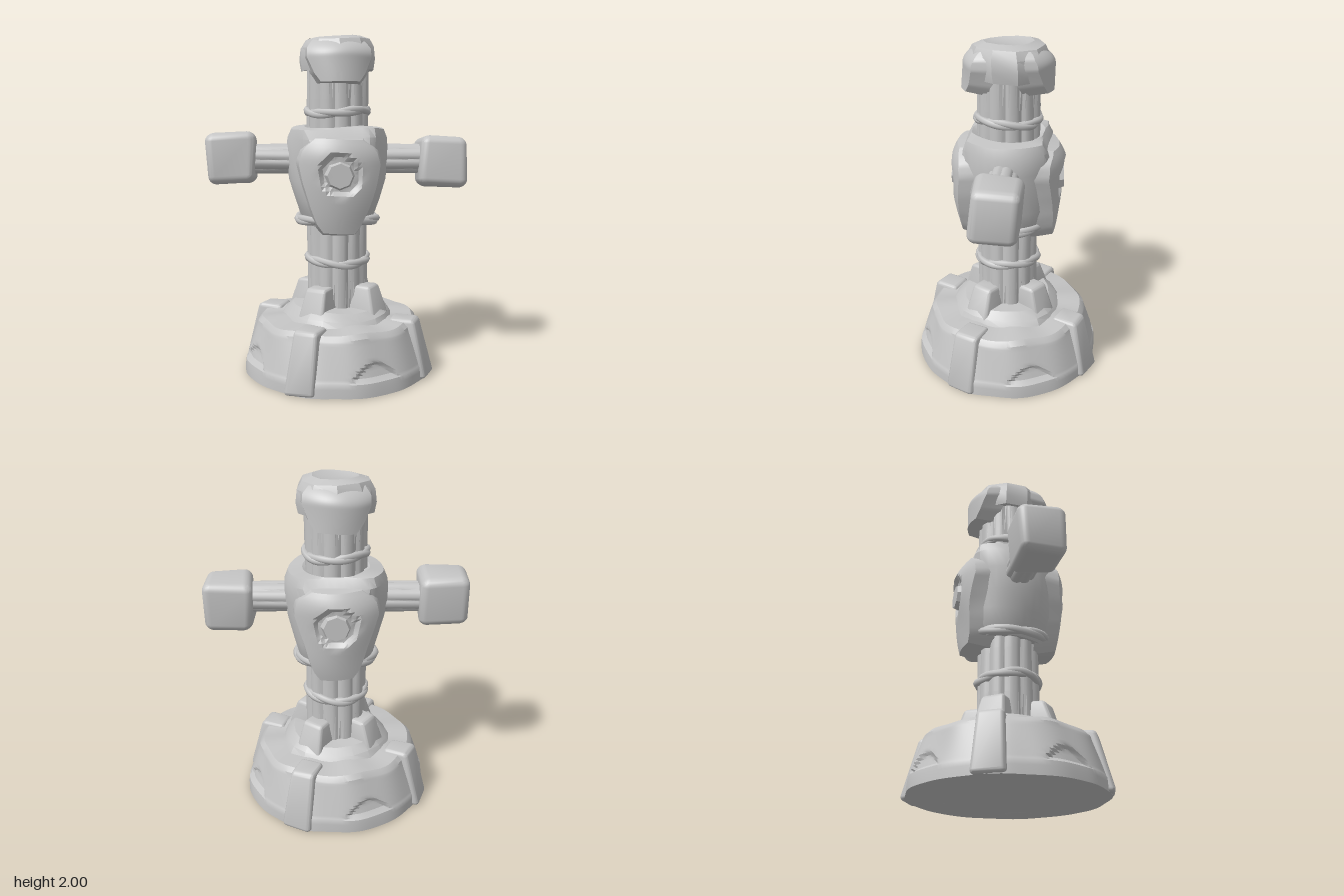
import * as THREE from 'three';
import { toCreasedNormals } from 'three/addons/utils/BufferGeometryUtils.js';
import { RoundedBoxGeometry } from 'three/addons/geometries/RoundedBoxGeometry.js';

const stone = new THREE.MeshStandardMaterial({ color: 0xc4c4c4 });
stone.name = 'pale grey';

// Move every vertex by a rule
function warp(geo, rule) {
  const p = geo.attributes.position, v = new THREE.Vector3();
  for (let i = 0; i < p.count; i++) {
    rule(v.fromBufferAttribute(p, i));
    p.setXYZ(i, v.x, v.y, v.z);
  }
  return geo;
}

// Uneven hand-hewn surface; the seed gives each part its own dents
function rough(geo, amp, seed = 0) {
  return warp(geo, (v) => {
    const { x, y, z } = v, s = seed;
    v.x += amp * Math.sin(13 * y + 9 * z + s) * Math.cos(7 * x + 2 * s);
    v.y += amp * Math.sin(11 * x - 10 * z + 2 * s) * 0.7;
    v.z += amp * Math.sin(12 * x + 11 * y + 3 * s) * Math.cos(6 * z + s);
  });
}

function add(parent, name, geo, crease = 0.6) {
  const mesh = new THREE.Mesh(toCreasedNormals(geo, crease), stone);
  mesh.name = name;
  parent.add(mesh);
  return mesh;
}

const lathe = (pts, sides) =>
  new THREE.LatheGeometry(pts.map(([x, y]) => new THREE.Vector2(x, y)), sides);

// Read a value from a list of [position, value] stops
function along(stops, t) {
  for (let i = 1; i < stops.length; i++) {
    const [a, va] = stops[i - 1], [b, vb] = stops[i];
    if (t <= b) return va + (vb - va) * Math.max(0, (t - a) / (b - a));
  }
  return stops[stops.length - 1][1];
}

// Timber with grooves between its planks
function timber(radius, length, planks) {
  return warp(new THREE.CylinderGeometry(radius, radius, length, planks * 6, 6), (v) => {
    const a = Math.atan2(v.z, v.x);
    const groove = Math.pow(Math.abs(Math.cos(a * planks / 2 + 0.25 * Math.sin(v.y * 5))), 8);
    const k = 1 - 0.1 * groove + 0.025 * Math.sin(3 * a + 4 * v.y);
    v.x *= k;
    v.z *= k;
  });
}

// Curved plate: half-widths by height, front depth, back depth, curvature
function plate(stops, front, back, curve) {
  const y0 = stops[0][0], y1 = stops[stops.length - 1][0], mid = (y0 + y1) / 2;
  return warp(new THREE.BoxGeometry(1, 1, 1, 18, 22, 2), (v) => {
    const shrink = 1 - 0.1 * (v.z + 0.5);
    const x = v.x * 2 * shrink * along(stops, mid + v.y * (y1 - y0));
    v.set(x, mid + v.y * (y1 - y0) * shrink, back + (front - back) * (v.z + 0.5) - curve * x * x);
  });
}

// Slightly sagging rope of two strands
function rope(parent, name, radius, y, thick) {
  for (let s = 0; s < 2; s++) {
    const pts = [];
    for (let i = 0; i < 32; i++) {
      const a = i / 32 * Math.PI * 2, t = 3 * a + s * Math.PI;
      const r = radius + 0.005 * Math.cos(t);
      pts.push(new THREE.Vector3(Math.cos(a) * r,
        y + 0.009 * Math.sin(t) + 0.01 * Math.sin(2 * a + y * 5), Math.sin(a) * r));
    }
    const curve = new THREE.CatmullRomCurve3(pts, true);
    add(parent, name, new THREE.TubeGeometry(curve, 80, thick, 7, true), 1.2);
  }
}

export function createModel() {
  const model = new THREE.Group();
  model.name = 'trainingPost';

  // Round foot with shallow arched hollows between its four brackets
  const turn = 0.18, profile = [[0, 0], [0.565, 0], [0.562, 0.05], [0.558, 0.078]];
  for (let i = 0; i <= 14; i++) profile.push([0.553 - 0.0052 * i, 0.085 + 0.0155 * i]);
  profile.push([0.455, 0.328], [0.32, 0.338], [0, 0.338]);
  const foot = warp(lathe(profile, 144), (v) => {
    const a = Math.atan2(v.x, v.z), q = Math.PI / 2;
    const d = ((a - turn) % q + q) % q - q / 2;
    const arch = THREE.MathUtils.smoothstep(0.19 - 1.3 * d * d - v.y, 0, 0.035) *
      THREE.MathUtils.smoothstep(v.y, 0.075, 0.1);
    const k = 1 - 0.04 * arch + 0.008 * Math.sin(8 * a + 9 * v.y) - 0.006 * Math.cos(12 * a);
    v.x *= k;
    v.z *= k;
    if (v.y > 0.3) v.y += 0.006 * Math.sin(8 * a + 1);
  });
  add(model, 'foot', foot, 0.5);

  // Collar of rubble around the post
  add(model, 'collar', rough(lathe([[0.345, 0.32], [0.32, 0.36], [0.27, 0.4], [0.15, 0.41]], 20), 0.012, 2), 0.4);

  for (let i = 0; i < 4; i++) {
    // Brackets clamping the rim
    const bracket = new THREE.Group();
    bracket.name = 'bracket';
    bracket.rotation.y = turn + i * Math.PI / 2;
    const clamp = warp(new RoundedBoxGeometry(0.175, 0.35, 0.24, 3, 0.025), (v) => {
      const t = v.y / 0.35 + 0.5;
      v.x *= 1.04 - 0.2 * t;
      v.z += 0.468 - (v.z > 0 ? 0.1 * Math.max(0, t - 0.15) : 0);
      v.y += 0.175;
    });
    add(bracket, 'bracketBlock', rough(clamp, 0.006, i), 0.6);
    model.add(bracket);

    // Wedges bracing the post
    const wedge = new THREE.Group();
    wedge.name = 'wedge';
    wedge.rotation.y = i * Math.PI / 2;
    const brace = warp(new RoundedBoxGeometry(0.18, 0.23, 0.16, 3, 0.022), (v) => {
      const t = v.y / 0.23 + 0.5;
      v.x *= 1.05 - 0.3 * t;
      v.z += 0.2 + (v.z > 0 ? 0.045 - 0.075 * t : 0);
      v.y += 0.415;
    });
    add(wedge, 'wedgeStone', rough(brace, 0.007, i + 1), 0.6);
    model.add(wedge);
  }

  // Upright post and its bindings
  add(model, 'post', timber(0.182, 1.6, 11), 0.7).position.y = 1.1;
  rope(model, 'lowerRope', 0.178, 0.675, 0.021);
  rope(model, 'neckRope', 0.178, 1.56, 0.021);

  // Everything above faces across the crossbar, turned on the post
  const upper = new THREE.Group();
  upper.name = 'upperBody';
  upper.rotation.y = 0.61;
  model.add(upper);

  // Torso, flattened front and back and sloping in towards the neck
  const torso = lathe([[0.15, 0.9], [0.215, 0.9], [0.25, 0.96], [0.28, 1.05], [0.305, 1.17], [0.322, 1.3],
    [0.324, 1.41], [0.305, 1.465], [0.22, 1.475], [0.15, 1.44]], 40);
  warp(torso, (v) => {
    const limit = Math.min(0.285, 0.285 - 0.55 * (v.y - 1.34));
    v.z = THREE.MathUtils.clamp(v.z, -limit, limit);
    v.x *= 0.93;
  });
  add(upper, 'torso', rough(torso, 0.01, 1), 0.5);
  rope(upper, 'waistRope', 0.232, 0.93, 0.022);

  const shield = [[0.84, 0.1], [0.9, 0.145], [1.0, 0.185], [1.15, 0.23], [1.28, 0.258], [1.37, 0.235], [1.44, 0.15]];
  const brow = [[1.715, 0.125], [1.77, 0.165], [1.87, 0.205], [1.93, 0.2], [1.975, 0.165]];
  for (const side of [0, 1]) {
    const face = new THREE.Group();
    face.name = side ? 'backArmour' : 'frontArmour';
    face.rotation.y = side * Math.PI;
    upper.add(face);

    // Breastplate with a dished ring around a low boss
    const breast = warp(plate(shield, 0.338, 0.2, 1.5), (v) => {
      const out = v.z > 0.24 ? 1 : 0;
      v.z -= (v.y > 1.28 ? 2.6 : 0.35) * Math.pow(v.y - 1.28, 2);
      v.z -= out * 0.035 * (1 - THREE.MathUtils.smoothstep(Math.hypot(v.x, v.y - 1.21), 0.095, 0.13));
    });
    add(face, 'breastplate', rough(breast, 0.008, 3 + side), 0.5);
    const boss = new THREE.CylinderGeometry(0.07, 0.088, 0.05, 8);
    boss.rotateX(Math.PI / 2);
    add(face, 'boss', rough(boss, 0.006, 2)).position.set(0, 1.21, 0.305);

    // Heavy slab at the front and back of the cap
    const slab = warp(plate(brow, 0.262, 0.14, 2.3), (v) => {
      v.z -= 9 * Math.pow(Math.max(0, v.y - 1.87), 2);
    });
    add(face, 'capSlab', rough(slab, 0.008, 5 + side), 0.5);

    // Crossbar arm with a blocky end
    const arm = new THREE.Group();
    arm.name = side ? 'rightArm' : 'leftArm';
    arm.rotation.y = side * Math.PI;
    arm.position.y = 1.28;
    upper.add(arm);
    const bar = timber(0.09, 0.4, 8);
    bar.rotateZ(Math.PI / 2);
    add(arm, 'armBar', bar, 0.7).position.x = 0.38;
    const block = warp(new RoundedBoxGeometry(0.26, 0.315, 0.262, 4, 0.045), (v) => {
      v.y *= 1.03 - 0.9 * Math.abs(v.z);
      v.x += 0.02 * Math.cos(v.y * 9) * Math.sign(v.x);
    });
    const end = add(arm, 'armBlock', rough(block, 0.009, 2 + side * 2), 0.5);
    end.position.set(0.625, side ? 0.005 : -0.02, 0);
    end.rotation.x = side ? 0.08 : -0.08;
  }

  // Rounded cap with a slightly sunken crown
  const cap = lathe([[0.15, 1.82], [0.215, 1.8], [0.228, 1.86], [0.225, 1.93], [0.2, 1.975],
    [0.14, 1.993], [0.11, 1.982], [0, 1.978]], 10);
  add(upper, 'cap', rough(cap, 0.008, 0.5), 0.45);

  return model;
}
